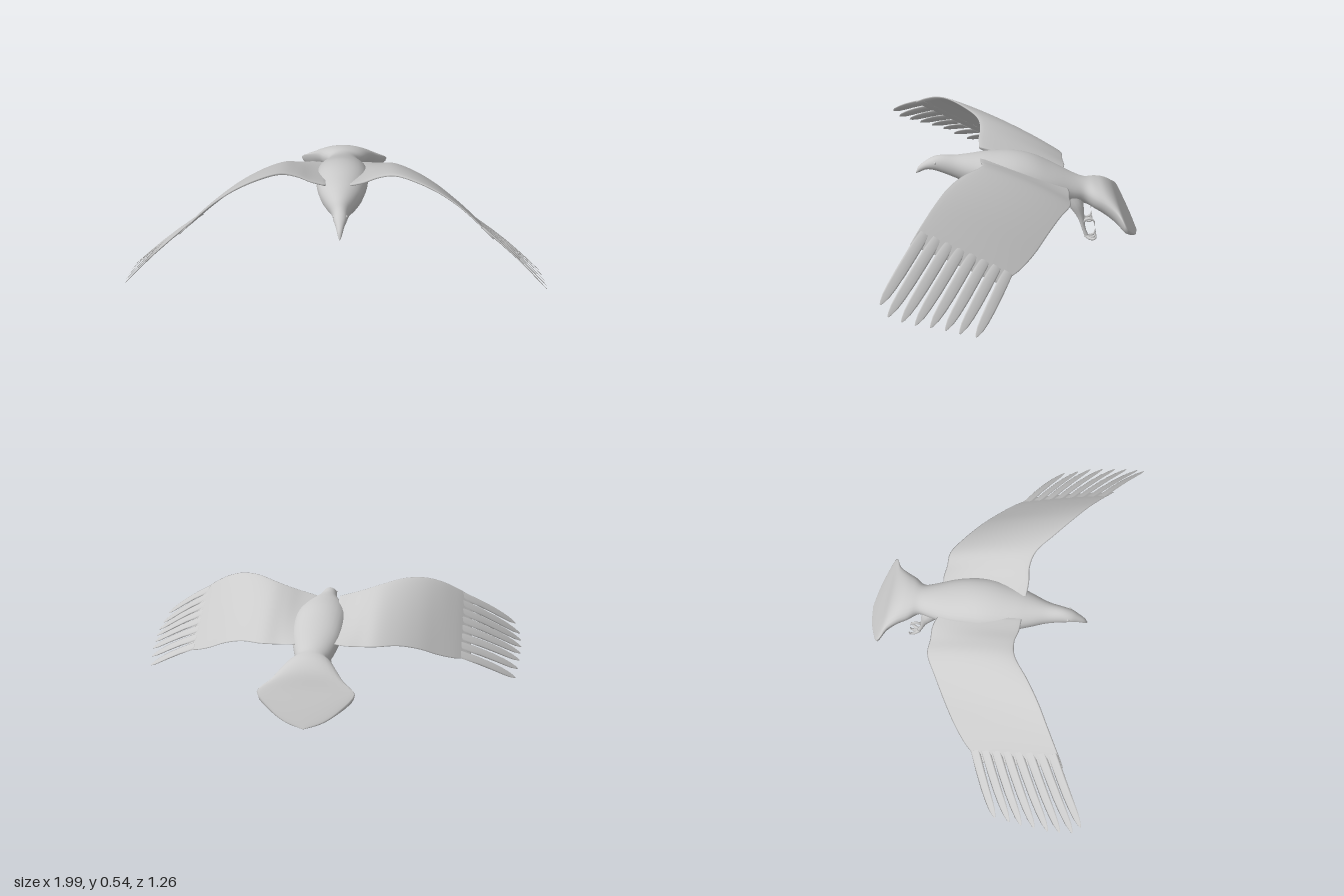
import * as THREE from 'three';

const material = new THREE.MeshStandardMaterial({ color: 0xcccccc, side: THREE.DoubleSide });
const CX = 0.018; // the body sits slightly to one side of the wing span

// Smoothly resample rows of numbers to n + 1 rows
function resample(rows, n) {
  const size = rows[0].length;
  const curve = new THREE.CubicInterpolant(rows.map((_, i) => i), rows.flat(), size, new Float32Array(size));
  return Array.from({ length: n + 1 }, (_, i) => Array.from(curve.evaluate((i / n) * (rows.length - 1))));
}

// Skin a list of closed rings and cap both ends; winding is turned outward by signed volume
function loft(name, rings) {
  const n = rings[0].length, points = rings.flat(), index = [];
  for (let r = 0; r < rings.length - 1; r++) {
    for (let i = 0; i < n; i++) {
      const a = r * n + i, b = r * n + (i + 1) % n;
      index.push(a, b, a + n, b, b + n, a + n);
    }
  }
  const last = (rings.length - 1) * n;
  for (let i = 1; i < n - 1; i++) index.push(0, i + 1, i, last, last + i, last + i + 1);
  let volume = 0;
  const cross = new THREE.Vector3();
  for (let i = 0; i < index.length; i += 3) {
    volume += points[index[i]].dot(cross.crossVectors(points[index[i + 1]], points[index[i + 2]]));
  }
  if (volume < 0) index.reverse();
  const geometry = new THREE.BufferGeometry().setFromPoints(points);
  geometry.setIndex(index);
  geometry.computeVertexNormals();
  const mesh = new THREE.Mesh(geometry, material);
  mesh.name = name;
  return mesh;
}

// Elliptical ring around a centre, spanned by two radius vectors
function ellipse(centre, u, v, sides) {
  return Array.from({ length: sides }, (_, i) => {
    const a = (i / sides) * Math.PI * 2;
    return centre.clone().addScaledVector(u, Math.cos(a)).addScaledVector(v, Math.sin(a));
  });
}

// Tapered round limb; rows are x, y, z, radius
function limb(name, rows, sides, steps) {
  const samples = resample(rows, steps);
  const centres = samples.map(([x, y, z]) => new THREE.Vector3(x, y, z));
  const rings = centres.map((c, i) => {
    const along = centres[Math.min(i + 1, steps)].clone().sub(centres[Math.max(i - 1, 0)]).normalize();
    const u = new THREE.Vector3(1, 0, 0).addScaledVector(along, -along.x).normalize();
    const v = new THREE.Vector3().crossVectors(along, u);
    const r = Math.max(samples[i][3], 0.001);
    return ellipse(c, u.multiplyScalar(r), v.multiplyScalar(r), sides);
  });
  return loft(name, rings);
}

// Beak to tail: z, half width, top, widest height, bottom
function makeBody() {
  const rows = [
    [0.48, 0.003, 0.375, 0.371, 0.367], [0.465, 0.011, 0.405, 0.39, 0.372],
    [0.43, 0.021, 0.434, 0.412, 0.388], [0.395, 0.032, 0.453, 0.422, 0.386],
    [0.35, 0.039, 0.462, 0.416, 0.37], [0.28, 0.053, 0.458, 0.402, 0.338],
    [0.2, 0.083, 0.462, 0.39, 0.298], [0.12, 0.11, 0.466, 0.382, 0.268],
    [0, 0.13, 0.462, 0.37, 0.246], [-0.1, 0.128, 0.438, 0.35, 0.238],
    [-0.2, 0.116, 0.388, 0.315, 0.216], [-0.3, 0.09, 0.335, 0.272, 0.188],
    [-0.36, 0.078, 0.312, 0.255, 0.182], [-0.41, 0.112, 0.304, 0.238, 0.158],
    [-0.46, 0.138, 0.288, 0.22, 0.128], [-0.51, 0.175, 0.243, 0.19, 0.092],
    [-0.55, 0.23, 0.168, 0.15, 0.062], [-0.59, 0.165, 0.096, 0.083, 0.036],
    [-0.618, 0.09, 0.042, 0.034, 0.015], [-0.635, 0.004, 0.007, 0.005, 0.003],
  ];
  const rings = resample(rows, 76).map(([z, w, top, mid, bottom]) =>
    Array.from({ length: 28 }, (_, i) => {
      const a = (i / 28) * Math.PI * 2, s = Math.sin(a);
      return new THREE.Vector3(CX + w * Math.cos(a), mid + s * (s > 0 ? top - mid : mid - bottom), z);
    }));
  return loft('bodyAndTail', rings);
}

// Point on the wing chord, lifted along the chord's upward normal
function chordPoint([x, zl, yl, zt, yt], t, lift, side) {
  const dz = zl - zt, dy = yl - yt, length = Math.hypot(dz, dy);
  return new THREE.Vector3(side * x, yl - dy * t + (lift * dz) / length, zl - dz * t - (lift * dy) / length);
}

// Wing stations: x, leading z and y, trailing z and y, thickness, camber
const wingRows = [
  [0.06, 0.165, 0.458, -0.25, 0.312, 0.018, -0.004], [0.13, 0.165, 0.478, -0.27, 0.306, 0.018, 0.002],
  [0.2, 0.155, 0.502, -0.266, 0.304, 0.018, 0.009], [0.28, 0.175, 0.526, -0.264, 0.305, 0.018, 0.012],
  [0.38, 0.252, 0.542, -0.205, 0.299, 0.017, 0.012], [0.48, 0.324, 0.534, -0.14, 0.27, 0.015, 0.011],
  [0.57, 0.383, 0.502, -0.075, 0.227, 0.013, 0.009], [0.65, 0.438, 0.456, -0.005, 0.194, 0.011, 0.007],
  [0.7, 0.474, 0.42, 0.055, 0.178, 0.008, 0.006], [0.73, 0.494, 0.398, 0.095, 0.17, 0.005, 0.006],
];

// Feather tips from the leading to the trailing one: x, y, z
const featherTips = [
  [0.96, 0.235, 0.627], [0.985, 0.187, 0.595], [0.992, 0.162, 0.537], [0.992, 0.142, 0.478],
  [0.987, 0.124, 0.412], [0.982, 0.103, 0.347], [0.972, 0.075, 0.285], [0.96, 0.046, 0.212],
];

function makeWing(side) {
  const wing = new THREE.Group();
  wing.name = side > 0 ? 'leftWing' : 'rightWing';

  // Gently cambered wing surface
  const half = 14;
  const rings = resample(wingRows, 40).map((row) =>
    Array.from({ length: half * 2 }, (_, i) => {
      const upper = i <= half;
      const t = (1 - Math.cos((Math.PI * (upper ? i : 2 * half - i)) / half)) / 2;
      const thick = row[5] * 1.3 * Math.sqrt(t) * (1 - t) + 0.002;
      return chordPoint(row, t, row[6] * 4 * t * (1 - t) + (upper ? thick : -thick), side);
    }));
  wing.add(loft('wingSurface', rings));

  // Spread flight feathers, rooted inside the wing
  const base = [0.68, 0.459, 0.435, 0.032, 0.184];
  const across = chordPoint(base, 0, 0, side).sub(chordPoint(base, 1, 0, side)).normalize();
  const profile = [[0, 0.027], [0.3, 0.027], [0.55, 0.026], [0.75, 0.023], [0.88, 0.018], [0.96, 0.01], [1, 0.003]];
  featherTips.forEach(([x, y, z], i) => {
    const t = (i + 0.5) / featherTips.length;
    const root = chordPoint(base, t, 0.025 * t * (1 - t), side);
    const tip = new THREE.Vector3(side * x, y, z);
    const along = tip.clone().sub(root).normalize();
    const width = across.clone().addScaledVector(along, -across.dot(along)).normalize();
    const normal = new THREE.Vector3().crossVectors(width, along);
    if (normal.y < 0) normal.negate();
    wing.add(loft('flightFeather', profile.map(([s, w]) => {
      const centre = root.clone().lerp(tip, s).addScaledVector(normal, 0.008 * Math.sin(Math.PI * s));
      return ellipse(centre, width.clone().multiplyScalar(w),
        normal.clone().multiplyScalar(0.006 * (1 - 0.85 * s)), 8);
    })));
  });
  return wing;
}

function makeLeg(side) {
  const leg = new THREE.Group();
  leg.name = side > 0 ? 'leftLeg' : 'rightLeg';
  const place = (rows) => rows.map(([x, y, z, r]) => [CX + side * x, y, z, r]);
  // Feathered thigh blending into a bare shank
  leg.add(limb('shank', place([
    [0.045, 0.25, -0.285, 0.04], [0.06, 0.195, -0.316, 0.035], [0.074, 0.135, -0.338, 0.018],
    [0.083, 0.075, -0.352, 0.01], [0.088, 0.03, -0.368, 0.01],
  ]), 12, 16));
  // Three toes curling backward and up
  for (const spread of [-0.026, 0, 0.026]) {
    leg.add(limb('toe', place([
      [0.088, 0.032, -0.362, 0.009], [0.09 + spread * 0.6, 0.022, -0.385, 0.008],
      [0.09 + spread, 0.028, -0.408, 0.006], [0.09 + spread, 0.055, -0.414, 0.001],
    ]), 8, 12));
  }
  // Opposing claw
  leg.add(limb('hindClaw', place([
    [0.08, 0.1, -0.347, 0.009], [0.084, 0.122, -0.362, 0.007], [0.087, 0.126, -0.385, 0.006],
    [0.089, 0.112, -0.404, 0.004], [0.09, 0.085, -0.408, 0.001],
  ]), 8, 12));
  return leg;
}

export function createModel() {
  const bird = new THREE.Group();
  bird.name = 'bird';
  bird.add(makeBody());
  for (const side of [1, -1]) {
    bird.add(makeWing(side), makeLeg(side));
    const eye = new THREE.Mesh(new THREE.SphereGeometry(0.007, 12, 8), material);
    eye.name = 'eye';
    eye.position.set(CX + side * 0.029, 0.434, 0.385);
    bird.add(eye);
  }
  return bird;
}
